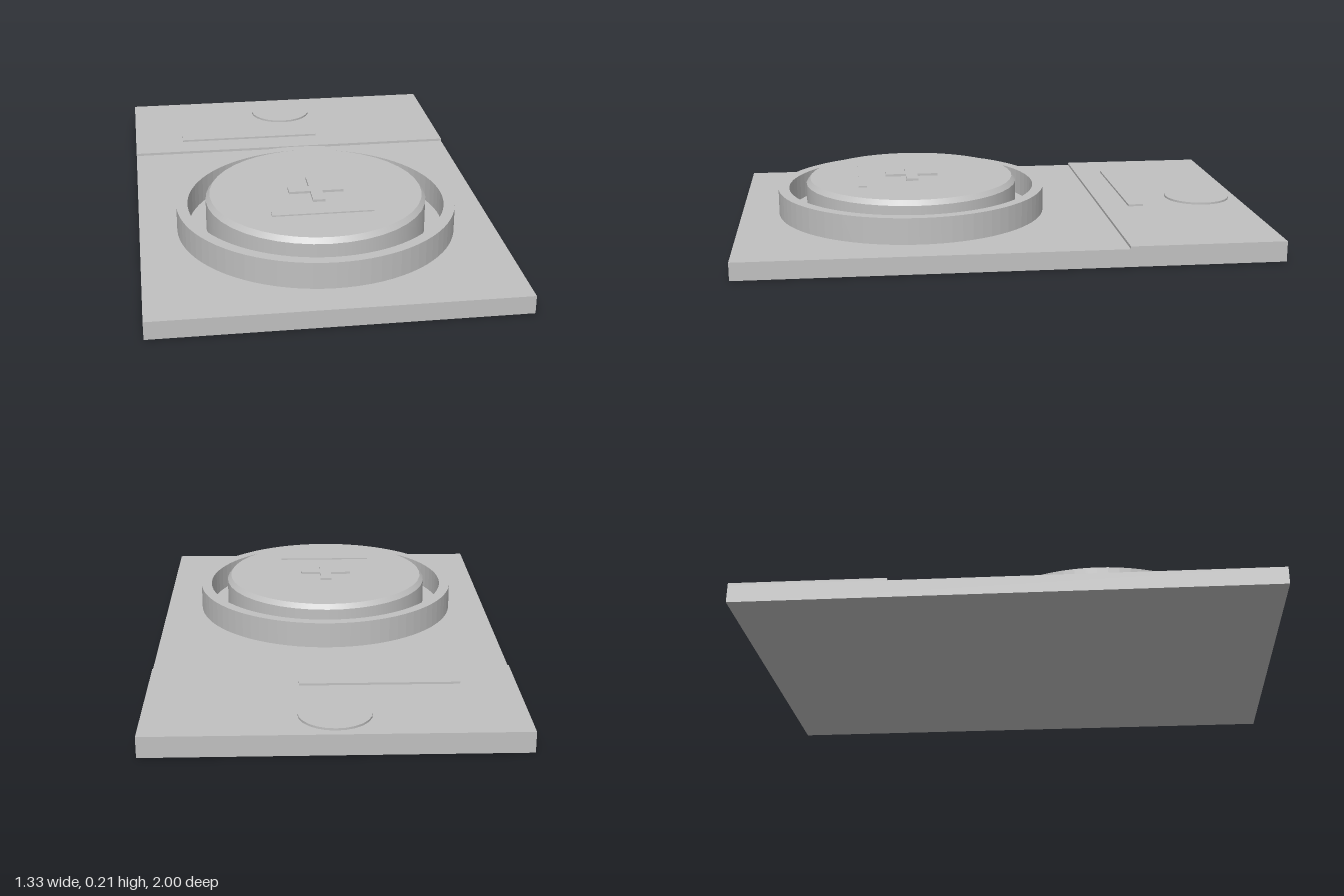
import * as THREE from 'three';

export function createModel() {
  const model = new THREE.Group();
  const grey = new THREE.MeshStandardMaterial({ color: 0xc0c0c0 });
  grey.name = 'grey plastic';

  const add = (name, geometry, x, y, z) => {
    const mesh = new THREE.Mesh(geometry, grey);
    mesh.name = name;
    mesh.position.set(x, y, z);
    model.add(mesh);
    return mesh;
  };
  // Box and disc helpers: y is the underside of the part
  const box = (name, w, h, d, x, y, z) =>
    add(name, new THREE.BoxGeometry(w, h, d), x, y + h / 2, z);
  const disc = (name, rTop, rBottom, h, y, z, sides, open = false) =>
    add(name, new THREE.CylinderGeometry(rTop, rBottom, h, sides, 1, open), 0, y + h / 2, z);

  const baseTop = 0.067, stepTop = 0.077, cellZ = 0.33, cellTop = 0.202;

  // Base plate with a slightly raised back section
  box('basePlate', 1.334, baseTop, 2, 0, 0, 0);
  box('raisedBackPanel', 1.334, stepTop - baseTop, 0.58, 0, baseTop, -0.71);

  // Round button and label bar on the back panel
  disc('backDisc', 0.13, 0.13, 0.008, stepTop, -0.84, 24);
  box('backBar', 0.585, 0.008, 0.06, -0.17, stepTop, -0.56);

  // Holder ring
  const ring = new THREE.Shape().absarc(0, 0, 0.525, 0, Math.PI * 2, false);
  ring.holes.push(new THREE.Path().absarc(0, 0, 0.483, 0, Math.PI * 2, true));
  const ringGeometry = new THREE.ExtrudeGeometry(ring, {
    depth: 0.1, bevelEnabled: false, curveSegments: 40,
  });
  ringGeometry.rotateX(-Math.PI / 2);
  add('holderRing', ringGeometry, 0, baseTop, cellZ);

  // Coin cell: straight wall and bevelled top edge
  disc('cellBody', 0.415, 0.415, 0.183 - baseTop, baseTop, cellZ, 40);
  disc('cellTopBevel', 0.4, 0.415, cellTop - 0.183, 0.183, cellZ, 40);

  // Plus sign as one solid cross
  const a = 0.103, b = 0.023;
  const cross = new THREE.Shape([
    [b, a], [-b, a], [-b, b], [-a, b], [-a, -b], [-b, -b],
    [-b, -a], [b, -a], [b, -b], [a, -b], [a, b], [b, b],
  ].map(([x, y]) => new THREE.Vector2(x, y)));
  const crossGeometry = new THREE.ExtrudeGeometry(cross, { depth: 0.009, bevelEnabled: false });
  crossGeometry.rotateX(-Math.PI / 2);
  add('plusSign', crossGeometry, 0, cellTop, cellZ);

  // Label bar on the cell
  box('cellBar', 0.375, 0.005, 0.032, 0, cellTop, 0.525);

  return model;
}
